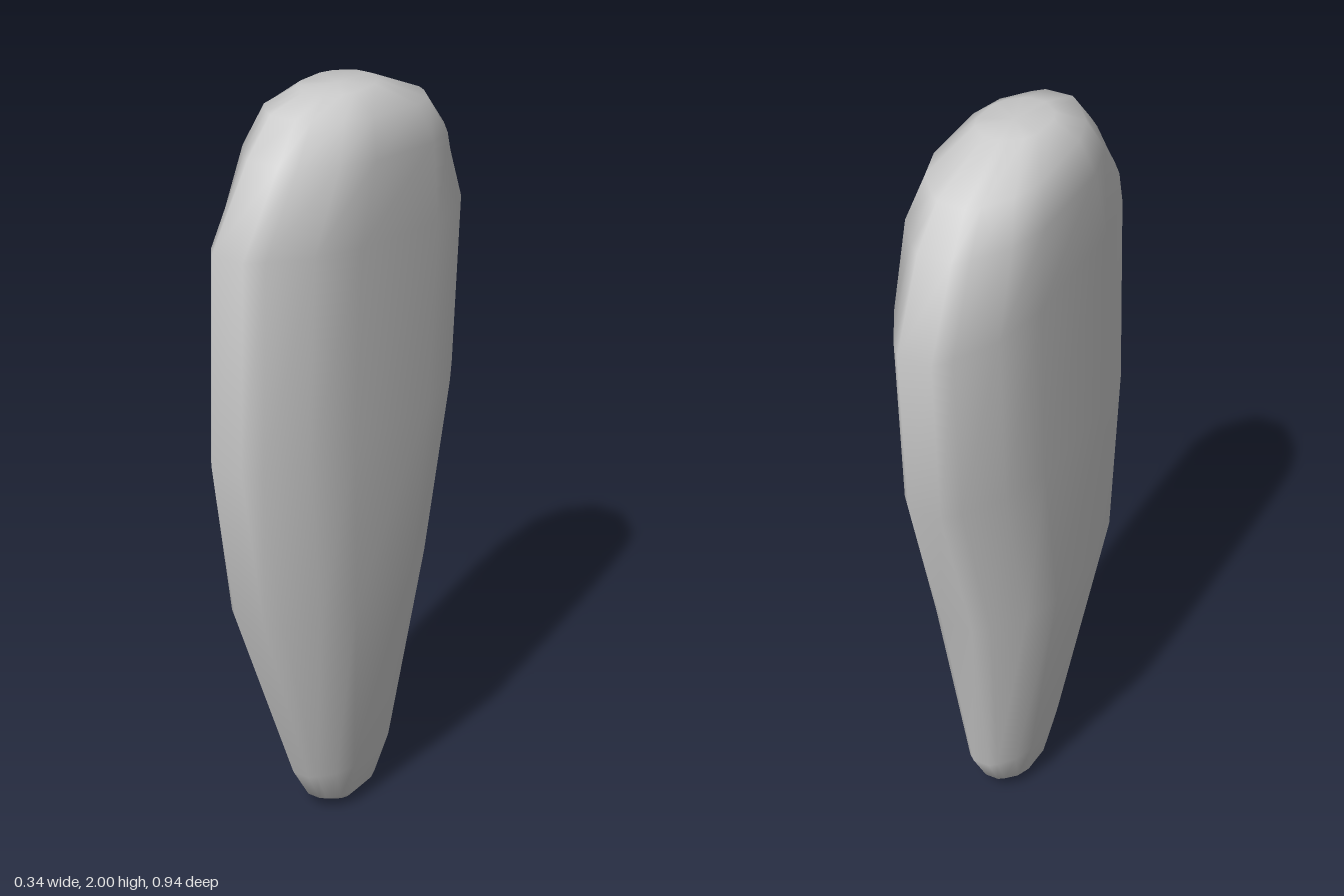
import * as THREE from 'three';

// Levels from bottom to top: [y at front, y at back, front z, back z, half width]
const LEVELS = [
  [0.0, 0.0, 0.055, -0.06, 0.04],
  [0.04, 0.04, 0.12, -0.12, 0.073],
  [0.14, 0.14, 0.18, -0.18, 0.092],
  [0.7, 0.7, 0.39, -0.295, 0.172],
  [1.15, 1.15, 0.47, -0.44, 0.172],
  [1.69, 1.6, 0.45, -0.468, 0.172],
  [1.88, 1.82, 0.31, -0.37, 0.171],
  [1.97, 1.92, 0.23, -0.29, 0.142],
  [2.0, 2.0, 0.12, -0.1, 0.08],
];

// One quarter of the cross-section, as fractions of half width and half depth
const QUARTER = [[0.26, 1], [0.46, 0.91], [0.82, 0.68], [1, 0.36]];

function fullSection() {
  const side = [...QUARTER, ...QUARTER.map(([x, z]) => [x, -z]).reverse()];
  return [...side, ...side.map(([x, z]) => [-x, z]).reverse()];
}

function loft(levels, section) {
  const n = section.length, pos = [], idx = [];
  for (const [yf, yb, zf, zb, w] of levels) {
    for (const [fx, fz] of section) {
      const t = (fz + 1) / 2;
      pos.push(fx * w, yb + (yf - yb) * t, zb + (zf - zb) * t);
    }
  }
  for (let r = 0; r < levels.length - 1; r++) {
    for (let i = 0; i < n; i++) {
      const a = r * n + i, b = r * n + (i + 1) % n;
      idx.push(a, b, b + n, a, b + n, a + n);
    }
  }
  // Close both ends with fans
  const last = (levels.length - 1) * n, bottom = levels.length * n, top = bottom + 1;
  const mid = (l) => [0, (l[0] + l[1]) / 2, (l[2] + l[3]) / 2];
  pos.push(...mid(levels[0]), ...mid(levels[levels.length - 1]));
  for (let i = 0; i < n; i++) {
    const j = (i + 1) % n;
    idx.push(bottom, j, i, top, last + i, last + j);
  }
  const geo = new THREE.BufferGeometry();
  geo.setAttribute('position', new THREE.Float32BufferAttribute(pos, 3));
  geo.setIndex(idx);
  geo.computeVertexNormals();
  return geo;
}

export function createModel() {
  const group = new THREE.Group();
  // Smooth standing stone, broad above and tapering to a blunt foot
  const stone = new THREE.Mesh(
    loft(LEVELS, fullSection()),
    new THREE.MeshStandardMaterial({ color: 0xcccccc })
  );
  stone.name = 'stone';
  group.add(stone);
  return group;
}
